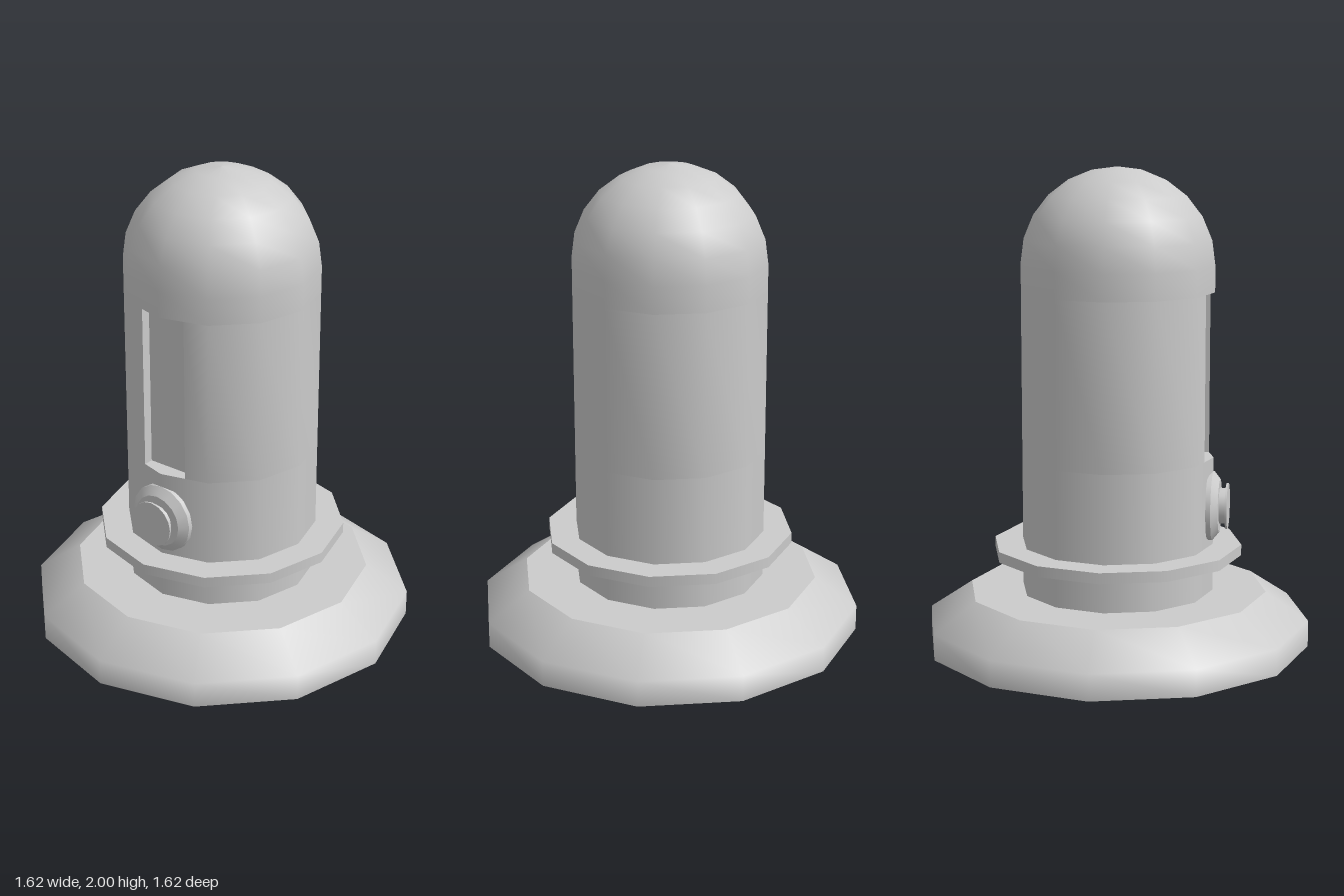
import * as THREE from 'three';
import { mergeGeometries, toCreasedNormals } from 'three/addons/utils/BufferGeometryUtils.js';

const material = new THREE.MeshStandardMaterial({ color: 0xcccccc });
const R = 0.405;               // body radius
const SLOT = { half: 0.105, bottom: 0.8, top: 1.49, floor: 0.335 };

// Merges turned profiles; each profile is smooth, with a sharp edge between profiles
function turned(profiles, sides = 12) {
  return mergeGeometries(profiles.map((p) =>
    new THREE.LatheGeometry(p.map(([r, y]) => new THREE.Vector2(r, y)), sides)));
}

// Profiles for a closed disc
const disc = (r, y0, y1) => [
  [[0, y0], [r, y0]], [[r, y0], [r, y1]], [[r, y1], [0, y1]],
];

function part(name, geometry) {
  const mesh = new THREE.Mesh(geometry, material);
  mesh.name = name;
  return mesh;
}

// Body section with the notch of the front slot
function slottedSection() {
  const shape = new THREE.Shape();
  for (let i = 1; i <= 11; i++) {
    const a = (i * Math.PI) / 6;
    const x = R * Math.sin(a), y = -R * Math.cos(a);
    if (i === 1) shape.moveTo(x, y);
    else shape.lineTo(x, y);
  }
  const h = SLOT.half;
  const lip = R - h * Math.tan(Math.PI / 12);
  shape.lineTo(-h, -lip);
  shape.lineTo(-h, -SLOT.floor);
  shape.lineTo(h, -SLOT.floor);
  shape.lineTo(h, -lip);
  shape.closePath();
  const g = new THREE.ExtrudeGeometry(shape, { depth: SLOT.top - SLOT.bottom, bevelEnabled: false });
  g.rotateX(-Math.PI / 2);
  g.translate(0, SLOT.bottom, 0);
  return toCreasedNormals(g, 0.7);
}

export function createModel() {
  const model = new THREE.Group();
  model.name = 'domedPost';

  // Base with a sloped shoulder
  model.add(part('base', turned([
    [[0, 0], [0.81, 0]],
    [[0.81, 0], [0.81, 0.11], [0.63, 0.23]],
    [[0.63, 0.23], [0, 0.23]],
  ])));

  // Body: lower column, slotted middle, domed top
  const body = new THREE.Group();
  body.name = 'body';
  const dome = [[R, SLOT.top]];
  for (let i = 0; i <= 6; i++) {
    const a = (i * Math.PI) / 12;
    dome.push([i === 6 ? 0 : R * Math.cos(a), 1.6 + 0.4 * Math.sin(a)]);
  }
  body.add(
    part('lowerColumn', turned(disc(R, 0.23, SLOT.bottom))),
    part('slottedColumn', slottedSection()),
    part('dome', turned([[[0, SLOT.top], [R, SLOT.top]], dome])),
  );
  model.add(body);

  // Thin collar around the column
  model.add(part('collar', turned(disc(0.525, 0.385, 0.43))));

  // Front button: bevelled flange, stem and cap
  const button = new THREE.Group();
  button.name = 'button';
  button.add(
    part('buttonFlange', turned([
      [[0, 0.385], [0.147, 0.385]],
      [[0.147, 0.385], [0.147, 0.405]],
      [[0.147, 0.405], [0.112, 0.433]],
      [[0.112, 0.433], [0, 0.433]],
    ], 16)),
    part('buttonStem', turned(disc(0.075, 0.43, 0.46), 16)),
    part('buttonCap', turned(disc(0.097, 0.46, 0.468), 16)),
  );
  button.rotation.x = Math.PI / 2;
  button.position.y = 0.595;
  model.add(button);

  return model;
}
